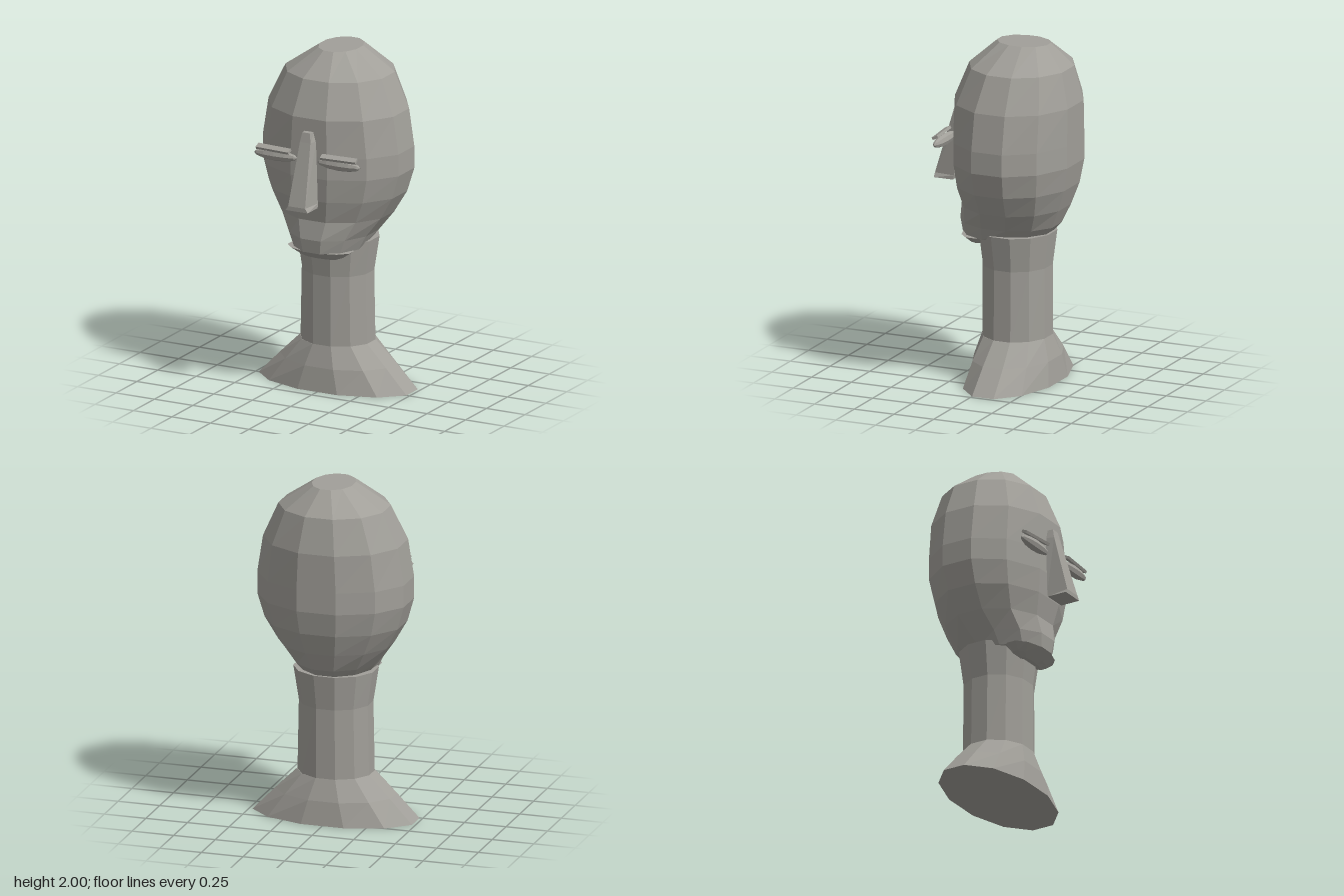
import * as THREE from 'three';

const stone = new THREE.MeshStandardMaterial({ color: 0xa19f99, flatShading: true });
stone.name = 'stone grey';

// Skin a stack of point rings (bottom to top) and close both ends
function loft(rings) {
  const n = rings[0].length;
  const pos = rings.flat(2);
  const index = [];
  for (let r = 0; r < rings.length - 1; r++) {
    for (let i = 0; i < n; i++) {
      const j = (i + 1) % n, a = r * n, b = a + n;
      index.push(a + i, a + j, b + j, a + i, b + j, b + i);
    }
  }
  const top = (rings.length - 1) * n;
  for (let i = 1; i < n - 1; i++) {
    index.push(0, i + 1, i);
    index.push(top, top + i, top + i + 1);
  }
  const g = new THREE.BufferGeometry();
  g.setAttribute('position', new THREE.Float32BufferAttribute(pos, 3));
  g.setIndex(index);
  const flat = g.toNonIndexed();
  flat.computeVertexNormals();
  return flat;
}

// Twelve-sided oval with flats facing front, back and sides
function oval([y, halfWidth, front, back, yBack = y]) {
  const k = Math.cos(Math.PI / 12);
  const rx = halfWidth / k, rz = (front - back) / 2 / k, cz = (front + back) / 2;
  return Array.from({ length: 12 }, (_, i) => {
    const a = (i + 0.5) * Math.PI / 6;
    return [rx * Math.sin(a), Math.cos(a) > -0.1 ? y : yBack, cz + rz * Math.cos(a)];
  });
}

// Four-sided section: front and back depth, front and back half-width
const wedge = ([y, zf, zb, wf, wb]) => [[wf, y, zf], [wb, y, zb], [-wb, y, zb], [-wf, y, zf]];

export function createModel() {
  const model = new THREE.Group();
  const add = (name, geometry) => {
    const mesh = new THREE.Mesh(geometry, stone);
    mesh.name = name;
    model.add(mesh);
    return mesh;
  };

  // Flared shoulders and neck: y, half-width, front z, back z
  add('shoulders', loft([
    [0, 0.48, 0.185, -0.32],
    [0.14, 0.345, 0.165, -0.3],
    [0.265, 0.218, 0.13, -0.26],
  ].map(oval)));
  add('neck', loft([
    [0.265, 0.215, 0.13, -0.26],
    [0.68, 0.207, 0.13, -0.26],
    [0.885, 0.238, 0.155, -0.285],
  ].map(oval)));

  // Egg-shaped head with a small flat crown
  add('head', loft([
    [0.85, 0.205, 0.255, -0.26, 0.875],
    [0.93, 0.245, 0.265, -0.31],
    [1.04, 0.325, 0.245, -0.36],
    [1.17, 0.4, 0.272, -0.405],
    [1.31, 0.44, 0.285, -0.43],
    [1.44, 0.44, 0.285, -0.43],
    [1.66, 0.405, 0.28, -0.43],
    [1.865, 0.313, 0.2, -0.382],
    [2, 0.12, 0.05, -0.26],
  ].map(oval)));
  add('chin', loft([
    [0.795, 0.1, 0.17, 0.12],
    [0.815, 0.15, 0.2, 0.08],
    [0.852, 0.2, 0.25, 0.035],
  ].map(oval)));

  // Long wedge nose
  add('nose', loft([
    [1.145, 0.43, 0.31, 0.072, 0.072],
    [1.17, 0.43, 0.305, 0.055, 0.07],
    [1.53, 0.328, 0.28, 0.034, 0.045],
    [1.585, 0.315, 0.27, 0.025, 0.03],
  ].map(wedge)));

  // Closed eyes: tapered pods with a thin upper lid strip
  for (const s of [1, -1]) {
    const side = s > 0 ? 'left' : 'right';
    const pod = new THREE.SphereGeometry(1, 8, 6);
    pod.rotateZ(Math.PI / 2);
    pod.scale(0.14, 0.035, 0.031);
    add(side + 'Eye', pod).position.set(s * 0.205, 1.419, 0.302);
    const lid = add(side + 'Eyelid', new THREE.BoxGeometry(0.22, 0.016, 0.036));
    lid.position.set(s * 0.212, 1.459, 0.316);
    lid.rotation.set(0.45, s * 0.07, -s * 0.04);
  }
  return model;
}
